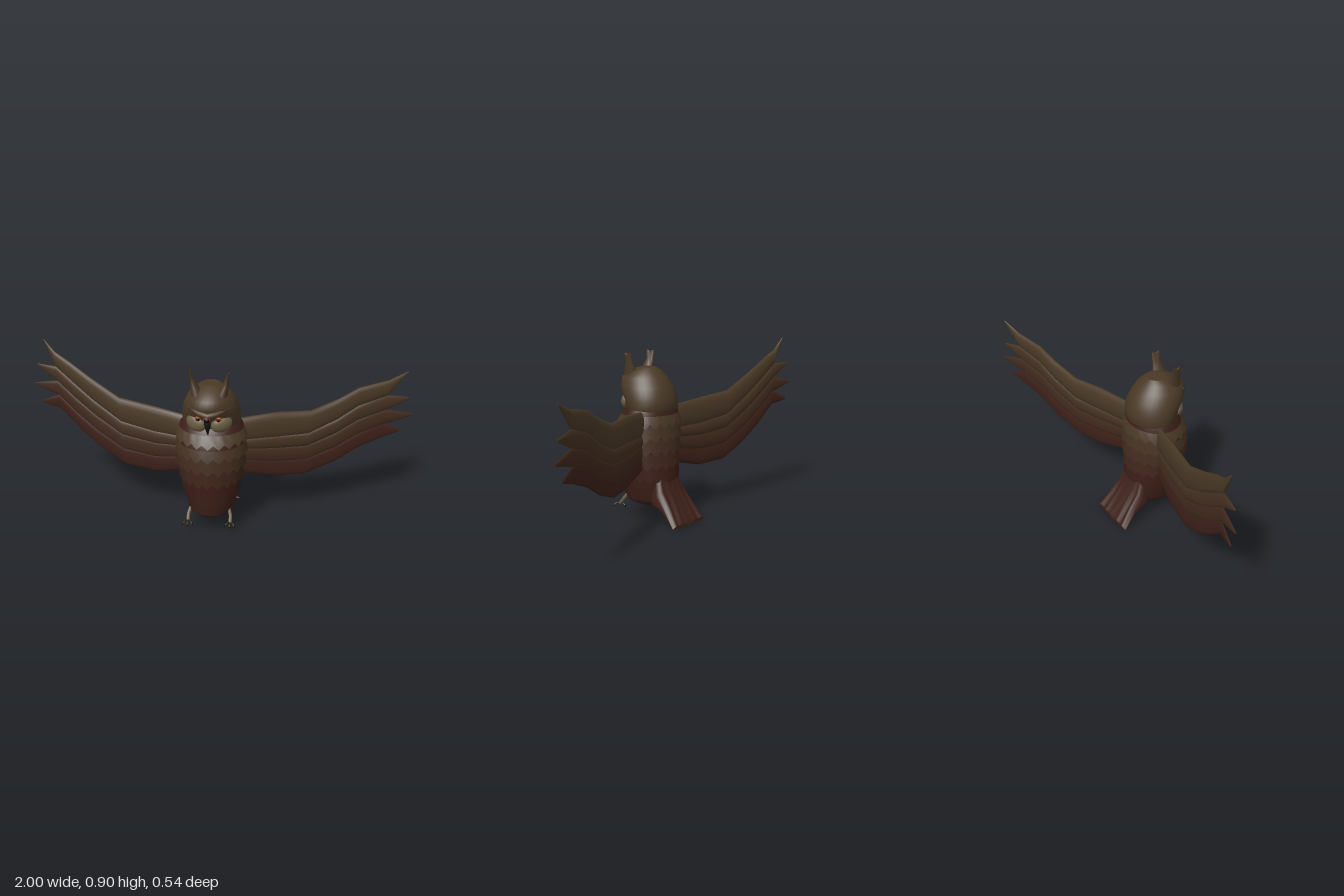
import * as THREE from 'three';

const CX = -0.02; // body axis
const V = (x, y, z) => new THREE.Vector3(x, y, z);
const lerp = THREE.MathUtils.lerp;
const TOP = new THREE.Color(0x4a3926), LOW = new THREE.Color(0x3c1d17);
const shade = t => new THREE.Color().lerpColors(TOP, LOW, t);

// Skin a list of equal-length point loops; ends closed by fans unless open
function loft(rings, open = false) {
  const n = rings[0].length, pts = rings.flat(), idx = [];
  for (let r = 0; r < rings.length - 1; r++)
    for (let i = 0; i < n; i++) {
      const a = r * n + i, b = r * n + (i + 1) % n;
      idx.push(a, b, a + n, b, b + n, a + n);
    }
  const p = pts.slice();
  if (!open) [0, rings.length - 1].forEach((r, end) => {
    const c = rings[r].reduce((s, v) => s.add(v), V(0, 0, 0)).divideScalar(n);
    const base = p.length;
    p.push(c, ...rings[r]);
    for (let i = 0; i < n; i++) {
      const a = base + 1 + i, b = base + 1 + (i + 1) % n;
      end ? idx.push(base, a, b) : idx.push(base, b, a);
    }
  });
  // turn faces outward if the enclosed volume is negative
  let vol = 0;
  const mid = p.reduce((s, v) => s.add(v), V(0, 0, 0)).divideScalar(p.length);
  const q = p.map(v => v.clone().sub(mid));
  for (let i = 0; i < idx.length; i += 3)
    vol += q[idx[i]].dot(V(0, 0, 0).crossVectors(q[idx[i + 1]], q[idx[i + 2]]));
  if (vol < 0) idx.reverse();
  const g = new THREE.BufferGeometry().setFromPoints(p);
  g.setIndex(idx);
  g.computeVertexNormals();
  return g;
}

function part(parent, name, geometry, color, side = THREE.FrontSide) {
  const m = new THREE.Mesh(geometry, new THREE.MeshStandardMaterial({ color, side }));
  m.name = name;
  parent.add(m);
  return m;
}

// Horizontal oval from [y, front z, back z, half width]
function oval([y, f, b, w], n, k = 1, wave = () => 0) {
  return Array.from({ length: n }, (_, i) => {
    const a = i / n * Math.PI * 2;
    return V(CX + Math.cos(a) * w * k, y + wave(i), (f + b) / 2 + Math.sin(a) * (f - b) / 2 * k);
  });
}

const BODY = [
  [0.085, 0.13, -0.03, 0.08], [0.1, 0.2, -0.05, 0.11], [0.12, 0.224, -0.06, 0.122],
  [0.2, 0.222, -0.068, 0.14], [0.28, 0.238, -0.07, 0.155], [0.36, 0.248, -0.07, 0.168],
  [0.43, 0.25, -0.07, 0.175], [0.5, 0.243, -0.068, 0.175], [0.58, 0.205, -0.055, 0.16], [0.61, 0.17, -0.03, 0.13]];
function bodyAt(y) {
  let i = 0;
  while (i < BODY.length - 2 && y > BODY[i + 1][0]) i++;
  const t = (y - BODY[i][0]) / (BODY[i + 1][0] - BODY[i][0]);
  return BODY[i].map((v, j) => lerp(v, BODY[i + 1][j], t));
}

function addBody(g) {
  part(g, 'body', loft(BODY.map(s => oval(s, 40, 0.985))), shade(0.95));
  // overlapping feather tiers with zigzag hems
  [0.22, 0.285, 0.36, 0.43, 0.5].forEach((hem, k) => {
    const top = k === 4 ? 0.6 : hem + 0.085;
    const zig = s => i => (i % 2 ? s : -s);
    const rings = [oval(bodyAt(top), 40, 0.985), oval(bodyAt((top + hem) / 2), 40, 1.012),
      oval(bodyAt(hem + 0.01), 40, 1.04, zig(0.013))];
    part(g, 'featherTier', loft(rings, true), shade(1 - k * 0.23), THREE.DoubleSide);
  });
}

function addTail(g) {
  // [upper y, upper z, lower y, lower z, half width, rib depth]
  const secs = [[0.26, -0.05, 0.1, 0.03, 0.09, 0], [0.18, -0.078, 0.082, 0, 0.108, 0.003],
    [0.105, -0.122, 0.066, -0.085, 0.114, 0.006], [0.018, -0.18, 0.006, -0.185, 0.133, 0.007]];
  const n = 48;
  const rings = secs.map(([uy, uz, ly, lz, w, rib]) => Array.from({ length: n }, (_, i) => {
    const a = i / n * Math.PI * 2, c = Math.cos(a), s = Math.sin(a);
    const x = Math.sign(c) * Math.abs(c) ** 0.8, t = 0.5 + 0.5 * Math.sign(s) * Math.abs(s) ** 0.6;
    const r = rib * Math.cos(x * Math.PI * 5);
    return V(CX + x * w, lerp(ly, uy, t) + r * 0.8, lerp(lz, uz, t) - r * 0.7);
  }));
  part(g, 'tail', loft(rings), shade(0.9));
}

function addHead(g) {
  const head = new THREE.Group();
  head.name = 'head';
  g.add(head);
  const secs = [[0.575, 0.17, -0.05, 0.135], [0.59, 0.19, -0.062, 0.147], [0.63, 0.2, -0.06, 0.146],
    [0.665, 0.222, -0.052, 0.142], [0.7, 0.238, -0.038, 0.132], [0.745, 0.236, -0.008, 0.112],
    [0.778, 0.192, 0.026, 0.08], [0.796, 0.14, 0.05, 0.045]];
  part(head, 'skull', loft(secs.map(s => oval(s, 32))), shade(0));
  for (const s of [-1, 1]) {
    // pale cheek, eye and heavy brow
    const cheek = part(head, 'cheek', new THREE.SphereGeometry(1, 20, 14), 0x6a5d42);
    cheek.scale.set(0.055, 0.043, 0.03);
    cheek.position.set(CX + s * 0.062, 0.617, 0.181);
    cheek.rotation.set(0, s * 0.42, s * 0.25);
    const eye = part(head, 'eye', new THREE.SphereGeometry(0.014, 16, 12), 0xb8431a);
    eye.position.set(CX + s * 0.05, 0.65, 0.205);
    const pupil = part(head, 'pupil', new THREE.SphereGeometry(0.009, 12, 10), 0x0a0a0a);
    pupil.position.set(CX + s * 0.049, 0.65, 0.213);
    const brow = [[0, 0.672, 0.236, 0.018], [0.05, 0.685, 0.227, 0.016], [0.1, 0.7, 0.185, 0.008]].map(([x, y, z, r]) =>
      Array.from({ length: 8 }, (_, i) => {
        const a = i / 8 * Math.PI * 2;
        return V(CX + s * x, y + Math.sin(a) * r, z + Math.cos(a) * r * 0.8);
      }));
    part(head, 'brow', loft(brow), shade(0.15));
    // ear tuft with ragged tip: [x, y, z, half x, half z, jag]
    const ear = [[0.06, 0.755, 0.155, 0.03, 0.042, 0], [0.074, 0.8, 0.153, 0.018, 0.029, 0],
      [0.083, 0.83, 0.15, 0.011, 0.022, 0], [0.092, 0.866, 0.155, 0.003, 0.026, 0.011]].map(([x, y, z, a, b, jag]) =>
      Array.from({ length: 12 }, (_, i) => {
        const t = i / 12 * Math.PI * 2;
        return V(CX + s * (x + Math.cos(t) * a), y + jag * Math.cos(t * 4 + Math.PI), z + Math.sin(t) * b);
      }));
    part(head, 'earTuft', loft(ear), shade(0.05));
  }
  // hooked beak with a round knob and ring above it
  const beak = [[0.662, 0.235, 0.014], [0.64, 0.242, 0.016], [0.61, 0.237, 0.011], [0.572, 0.222, 0.002]].map(([y, z, r]) =>
    Array.from({ length: 10 }, (_, i) => {
      const a = i / 10 * Math.PI * 2;
      return V(CX + Math.cos(a) * r, y, z + Math.sin(a) * r);
    }));
  part(head, 'beak', loft(beak), 0x15130f);
  const knob = part(head, 'knob', new THREE.SphereGeometry(0.016, 16, 12), 0x0c0b0a);
  knob.position.set(CX, 0.665, 0.253);
  const ring = part(head, 'knobRing', new THREE.TorusGeometry(0.013, 0.003, 8, 20), 0xb8431a);
  ring.position.set(CX, 0.666, 0.258);
}

function addLegs(g) {
  for (const s of [-1, 1]) {
    const leg = new THREE.Group();
    leg.name = s > 0 ? 'leftLeg' : 'rightLeg';
    leg.position.x = CX + s * 0.108;
    g.add(leg);
    const limb = (name, pts, r, color) => {
      const m = part(leg, name, new THREE.TubeGeometry(new THREE.CatmullRomCurve3(pts), 8, r, 7), color);
      return m;
    };
    limb('shin', [V(-s * 0.01, 0.13, 0.155), V(0, 0.1, 0.175), V(0, 0.073, 0.197)], 0.009, 0x6a5d42);
    for (const [dx, dz] of [[-0.025, 0.022], [0, 0.034], [0.025, 0.022], [0, -0.036]]) {
      limb('toe', [V(0, 0.072, 0.197), V(dx * 0.6, 0.074, 0.197 + dz * 0.6), V(dx, 0.064, 0.197 + dz)], 0.0045, 0x2a241b);
      const claw = part(leg, 'claw', new THREE.ConeGeometry(0.004, 0.016, 6), 0x0f0d0b);
      claw.position.set(dx, 0.06, 0.197 + dz);
      claw.rotation.x = Math.PI;
    }
  }
}

// Wing: rows are [leading x, y, trailing x, y]; each of four bands ends in a feather tip
function addWing(g, name, rows, tips, zAt) {
  const wing = new THREE.Group();
  wing.name = name;
  g.add(wing);
  const ROOT = [0, 0.43, 0.58, 0.78, 1], END = [0, 0.27, 0.52, 0.77, 1];
  const section = (ux, uy, lx, ly, th) => Array.from({ length: 12 }, (_, i) => {
    const a = i / 12 * Math.PI * 2, t = 0.5 - 0.5 * Math.cos(a);
    const x = lerp(ux, lx, t);
    return V(x, lerp(uy, ly, t), zAt(x) + Math.sin(a) * th);
  });
  tips.forEach(([tx, ty], k) => {
    const th = 0.024 - k * 0.004;
    const rings = rows.map(([ux, uy, lx, ly], r) => {
      const s = r / (rows.length - 1);
      const a = Math.max(0, lerp(ROOT[k], END[k], s) - (k ? 0.07 * (1 - s * 0.8) : 0));
      const b = lerp(ROOT[k + 1], END[k + 1], s);
      return section(lerp(ux, lx, a), lerp(uy, ly, a), lerp(ux, lx, b), lerp(uy, ly, b), th * (1 - 0.45 * s));
    });
    rings.push(section(tx, ty + 0.006, tx * 0.997, ty - 0.006, 0.004));
    part(wing, 'featherBand', loft(rings), shade(k * 0.3));
  });
}

export function createModel() {
  const g = new THREE.Group();
  g.name = 'owl';
  addBody(g);
  addTail(g);
  addHead(g);
  addLegs(g);
  addWing(g, 'rightWing',
    [[-0.14, 0.585, -0.14, 0.28], [-0.33, 0.61, -0.33, 0.237], [-0.52, 0.63, -0.5, 0.247],
      [-0.68, 0.72, -0.64, 0.325], [-0.79, 0.79, -0.75, 0.41], [-0.87, 0.835, -0.865, 0.52]],
    [[-0.93, 0.893], [-0.98, 0.75], [-1, 0.64], [-0.97, 0.54]],
    x => 0.025 + 0.24 * (x + 0.17));
  addWing(g, 'leftWing',
    [[0.11, 0.585, 0.11, 0.28], [0.3, 0.6, 0.3, 0.237], [0.47, 0.592, 0.45, 0.232],
      [0.61, 0.645, 0.6, 0.285], [0.71, 0.697, 0.72, 0.355], [0.86, 0.725, 0.85, 0.405]],
    [[0.96, 0.76], [0.975, 0.615], [1, 0.52], [0.94, 0.435]],
    x => 0.025 - 0.335 * (x - 0.12));
  return g;
}
